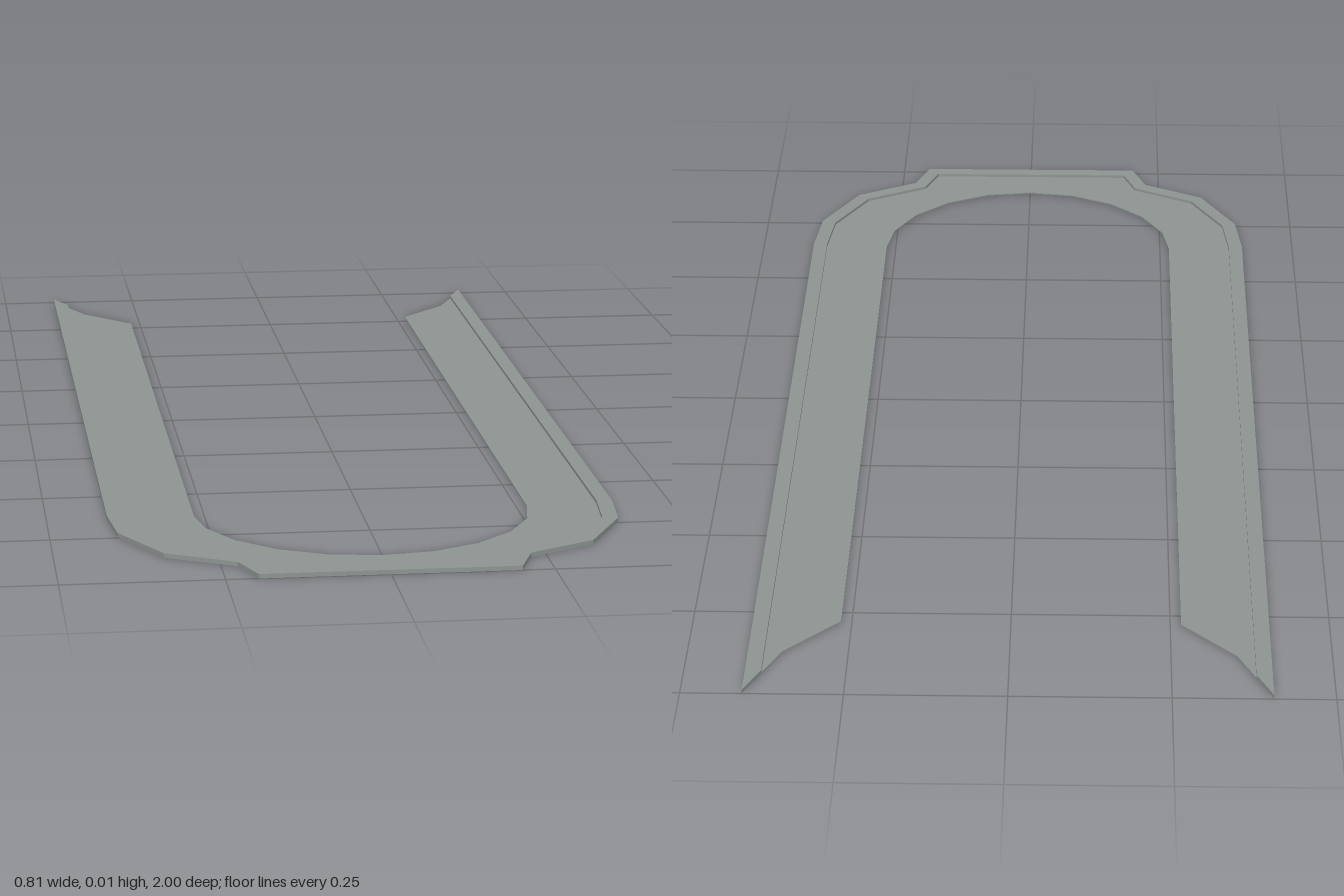
import * as THREE from 'three';

const SHEET_HEIGHT = 0.002;
const RIM_HEIGHT = 0.007;
const RIM_WIDTH = 0.025;

// Half outlines as [x, z], from the open end to the closed end
const outer = [[0.405, -1], [0.405, 0.64], [0.395, 0.745], [0.332, 0.87], [0.225, 0.93], [0.2, 1]];
const inner = [[0.267, -0.78], [0.267, 0.64], [0.255, 0.715], [0.216, 0.79], [0.155, 0.85], [0.08, 0.888], [0, 0.9]];
const cutCorner = [0.352, -0.875];

// Mirror a half outline into one full run from +x to -x
const mirrored = (half) => [
  ...half,
  ...half.filter(([x]) => x > 0).map(([x, z]) => [-x, z]).reverse(),
];

// Mitred inward offset of the outer half outline
function insetOutline(points, distance) {
  const full = mirrored(points);
  const normal = (a, b) => new THREE.Vector2(-(b[1] - a[1]), b[0] - a[0]).normalize();
  return points.map((p, i) => {
    const next = normal(p, full[i + 1]);
    const prev = i > 0 ? normal(full[i - 1], p) : next;
    const mitre = prev.clone().add(next);
    mitre.multiplyScalar(distance / (1 + prev.dot(next)));
    return [p[0] + mitre.x, p[1] + mitre.y];
  });
}

// Extrude an [x, z] outline upwards from the ground
function plate(name, points, height, material) {
  const shape = new THREE.Shape(points.map(([x, z]) => new THREE.Vector2(x, z)));
  const geometry = new THREE.ExtrudeGeometry(shape, { depth: height, bevelEnabled: false });
  geometry.rotateX(Math.PI / 2).translate(0, height, 0);
  const mesh = new THREE.Mesh(geometry, material);
  mesh.name = name;
  return mesh;
}

export function createModel() {
  const group = new THREE.Group();
  group.name = 'uShapedPlate';
  const metal = new THREE.MeshStandardMaterial({ color: 0x8c9491 });
  metal.name = 'greyMetal';

  // The border between rim and sheet ends on the slanted cut
  const border = insetOutline(outer, RIM_WIDTH);
  const t = RIM_WIDTH / (outer[0][0] - cutCorner[0]);
  border[0][1] = THREE.MathUtils.lerp(outer[0][1], cutCorner[1], t);

  // Raised rim along the outside
  group.add(plate('outerRim', [...mirrored(outer), ...mirrored(border).reverse()], RIM_HEIGHT, metal));

  // Lower flat sheet inside the rim
  const innerSide = mirrored([cutCorner, ...inner]).reverse();
  group.add(plate('flatSheet', [...mirrored(border), ...innerSide], SHEET_HEIGHT, metal));
  return group;
}
